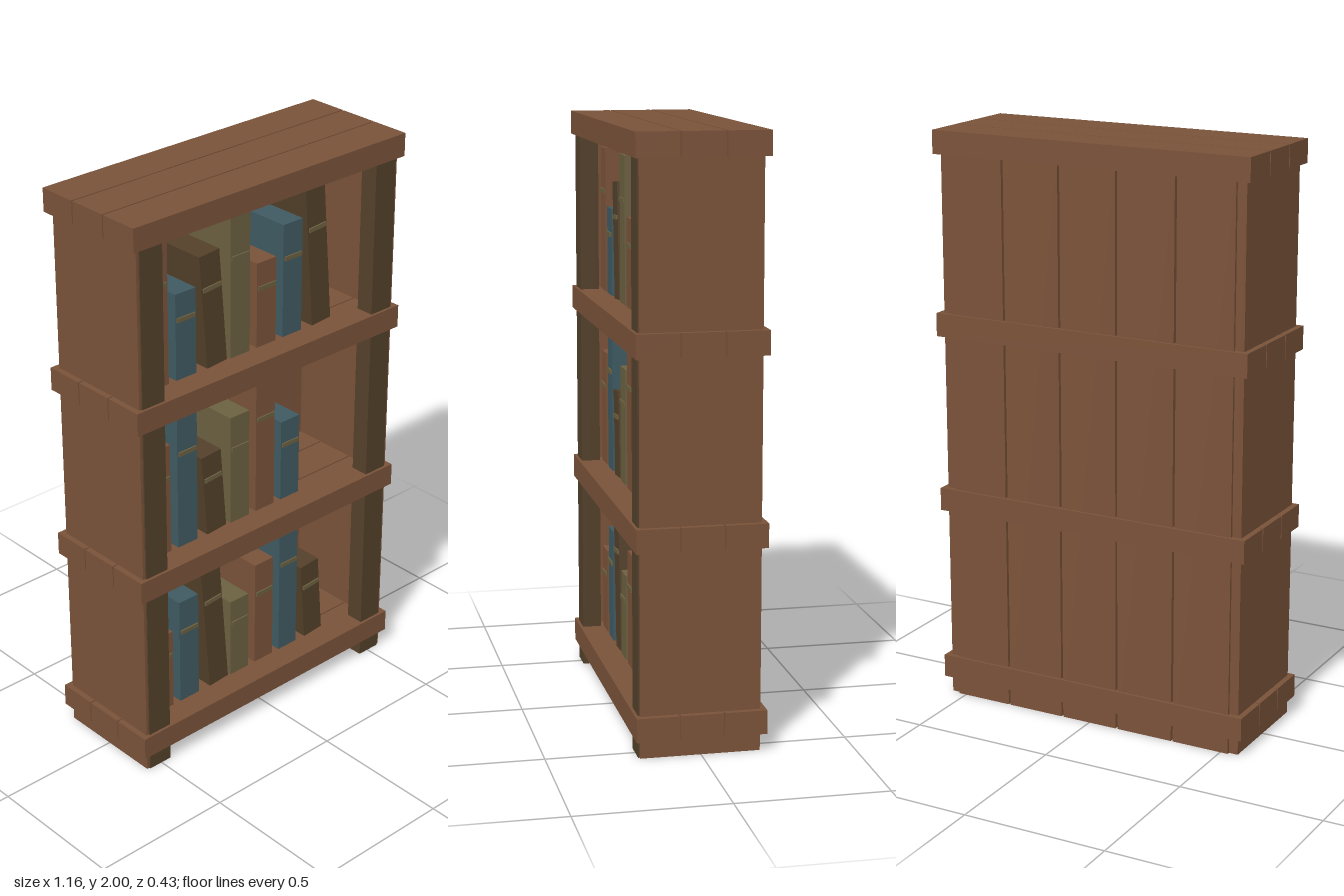
import * as THREE from 'three';

const paint = (name, color) => {
  const m = new THREE.MeshStandardMaterial({ color });
  m.name = name;
  return m;
};

export function createModel() {
  const wood = paint('wood', 0x7a5239);
  const darkWood = paint('dark wood', 0x53402a);
  const blue = paint('blue cloth', 0x3f5a62);
  const olive = paint('olive cloth', 0x6b6040);

  const model = new THREE.Group();
  model.name = 'bookcase';

  const box = (parent, name, mat, [w, h, d], [x, y, z]) => {
    const mesh = new THREE.Mesh(new THREE.BoxGeometry(w, h, d), mat);
    mesh.name = name;
    mesh.position.set(x, y, z);
    parent.add(mesh);
    return mesh;
  };

  // Four shelves, each of three planks with narrow gaps
  const shelfY = [0.1, 0.72, 1.34, 1.96];
  for (const y of shelfY) {
    const shelf = new THREE.Group();
    shelf.name = 'shelf';
    for (const z of [-0.145, 0, 0.145]) box(shelf, 'shelfPlank', wood, [1.16, 0.08, 0.14], [0, y, z]);
    model.add(shelf);
  }

  // Side panels and dark front posts
  for (const s of [-1, 1]) {
    box(model, 'sidePanel', wood, [0.05, 1.97, 0.395], [s * 0.535, 0.985, 0.0025]);
    box(model, 'frontPost', darkWood, [0.09, 1.95, 0.065], [s * 0.505, 0.975, 0.1725]);
  }

  // Back planks
  for (let i = -2; i <= 2; i++) {
    box(model, 'backPlank', wood, [0.205, 1.95, 0.03], [i * 0.2125, 0.975, -0.19]);
  }

  // Books: heights cycle along each row, dark ones lean to the right
  const covers = [wood, blue, darkWood, olive, wood, blue, darkWood];
  for (let row = 0; row < 3; row++) {
    const count = row === 1 ? 6 : 7;
    for (let i = 0; i < count; i++) {
      const h = 0.3 + 0.1 * ((i + row) % 3);
      const book = new THREE.Group();
      book.name = 'book';
      book.position.set(-0.42 + i * 0.116, shelfY[row] + 0.042 + h / 2, 0);
      if (covers[i] === darkWood) book.rotation.z = 0.08;
      box(book, 'cover', covers[i], [0.085, h, 0.26], [0, 0, 0]);
      box(book, 'spineBand', olive, [0.075, 0.015, 0.008], [0, 0.2 * h, 0.131]);
      model.add(book);
    }
  }
  return model;
}
